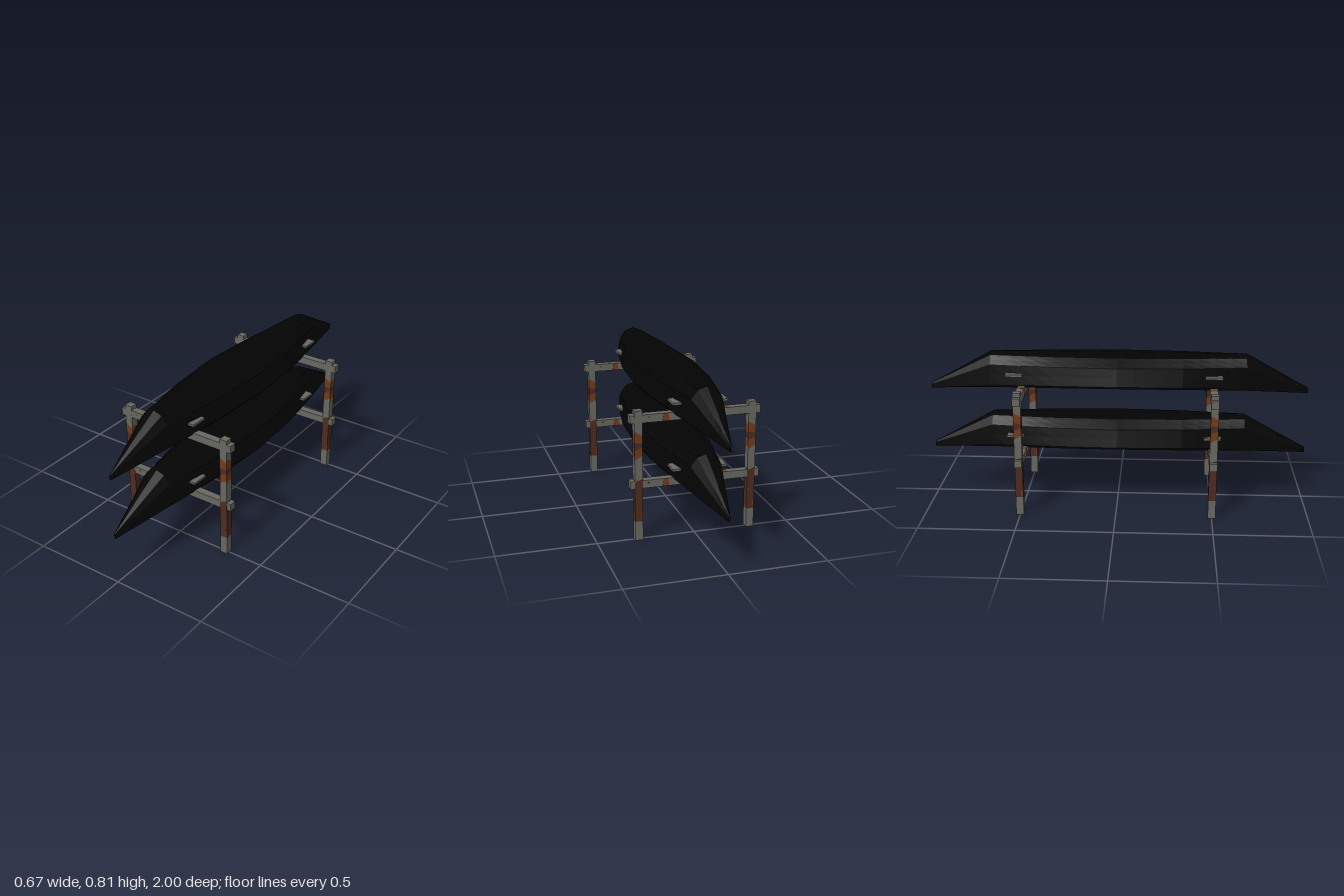
import * as THREE from 'three';

const mat = (name, color) => new THREE.MeshStandardMaterial({ name, color });

// Hull stations: z, half width, rim height, keel height
const STATIONS = [
  [0, 0.177, 0.652, 0.805], [0.34, 0.151, 0.645, 0.805],
  [0.67, 0.088, 0.628, 0.805], [1, 0.005, 0.595, 0.622],
];
// Half section, turned-in rim to keel: fraction of half width, fraction of height
const SECTION = [
  [0.945, 0], [1, 0.08], [0.935, 0.37], [0.87, 0.68],
  [0.69, 0.8], [0.51, 0.92], [0.26, 0.96], [0, 1],
];
const RING = [
  ...SECTION.map(([x, y]) => [-x, y]),
  ...SECTION.slice(0, -1).reverse(),
];
const STEPS = 24;
const THICKNESS = 0.003;

// Cross-section ring, spaced evenly between the corner stations
function ringAt(j, inset) {
  const u = (j / STEPS) * 2 - 1;
  const a = Math.abs(u) * 3, k = Math.min(2, Math.floor(a));
  const [d, w, rim, top] = STATIONS[k].map((v, i) => v + (STATIONS[k + 1][i] - v) * (a - k));
  return RING.map(([x, f]) => [x * (w - inset), rim + (top - inset - rim) * f, Math.sign(u) * d]);
}

// Surface over a list of quads, each with its corners counter-clockwise
function quadGeometry(quads) {
  const pos = quads.flatMap(([a, b, c, d]) => [...a, ...b, ...d, ...d, ...b, ...c]);
  const g = new THREE.BufferGeometry();
  g.setAttribute('position', new THREE.Float32BufferAttribute(pos, 3));
  g.computeVertexNormals();
  return g;
}

// Scattered stains either side of the inner keel
const stained = (i, j) => j > 3 && j < 20 && i > 3 && i < 10 && (i * 3 + j) % 4 === 0;

// Outer skin with its thin rim and stem edges, clean lining and stained lining
function hullGeometries() {
  const skin = [], lining = [], stains = [];
  const last = RING.length - 1;
  for (let j = 0; j < STEPS; j++) {
    const r = ringAt(j, 0), s = ringAt(j + 1, 0);
    const p = ringAt(j, THICKNESS), q = ringAt(j + 1, THICKNESS);
    for (let i = 0; i < last; i++) {
      skin.push([r[i], s[i], s[i + 1], r[i + 1]]);
      (stained(i, j) ? stains : lining).push([p[i], p[i + 1], q[i + 1], q[i]]);
      if (j === 0) skin.push([r[i], r[i + 1], p[i + 1], p[i]]);
      if (j === STEPS - 1) skin.push([s[i], q[i], q[i + 1], s[i + 1]]);
    }
    skin.push([r[0], p[0], q[0], s[0]], [r[last], s[last], q[last], p[last]]);
  }
  return [skin, lining, stains].map(quadGeometry);
}

export function createModel() {
  const black = mat('black hull paint', 0x030303);
  const grey = mat('weathered grey', 0x686862);
  const rust = mat('orange rust', 0x733b1c);
  const brown = mat('dark rust', 0x4e2b21);

  const model = new THREE.Group();
  model.name = 'canoeRack';

  const add = (parent, name, geometry, material, x = 0, y = 0, z = 0) => {
    const m = new THREE.Mesh(geometry, material);
    m.name = name;
    m.position.set(x, y, z);
    parent.add(m);
  };

  // Upturned canoes with seats that pass through the hull sides
  const [skin, lining, stains] = hullGeometries();
  const seat = new THREE.BoxGeometry(0.276, 0.012, 0.09);
  [['upperCanoe', 0], ['lowerCanoe', -0.333]].forEach(([name, y]) => {
    const canoe = new THREE.Group();
    canoe.name = name;
    canoe.position.y = y;
    add(canoe, 'hullOutside', skin, black);
    add(canoe, 'hullInside', lining, grey);
    add(canoe, 'hullStains', stains, brown);
    [0.5, 0, -0.538].forEach((z) => add(canoe, 'seat', seat, grey, 0, 0.705, z));
    model.add(canoe);
  });

  // Post bands: bottom, top, bottom tilt, top tilt, material
  const bands = [
    [0, 0.1, 0, 0, grey], [0.1, 0.315, 0, 0.006, brown], [0.315, 0.43, 0.006, 0.012, grey],
    [0.43, 0.475, 0.012, 0.008, rust], [0.475, 0.507, 0.008, -0.004, brown],
    [0.507, 0.553, -0.004, -0.012, rust], [0.553, 0.667, -0.012, 0, grey],
  ];
  // Each side of the post repeats the same slanted band edges
  const bandGeos = bands.map(([y0, y1, t0, t1]) => {
    const g = new THREE.BoxGeometry(0.04, y1 - y0, 0.04);
    const p = g.attributes.position, n = g.attributes.normal;
    for (let i = 0; i < p.count; i++) {
      const u = (n.getZ(i) * p.getX(i) - n.getX(i) * p.getZ(i)) / 0.02;
      p.setY(i, p.getY(i) > 0 ? y1 + t1 * u : y0 + t0 * u);
    }
    return g;
  });
  const postFleck = new THREE.BoxGeometry(0.008, 0.036, 0.001);

  // Rust marks on the beam faces
  const patchShape = new THREE.Shape([
    new THREE.Vector2(-0.019, -0.02), new THREE.Vector2(0.018, -0.02),
    new THREE.Vector2(0.01, 0.02), new THREE.Vector2(-0.012, 0.02),
  ]);
  const patch = new THREE.ExtrudeGeometry(patchShape, { depth: 0.001, bevelEnabled: false });
  const fleck = new THREE.BoxGeometry(0.012, 0.008, 0.001);
  const flatPatch = new THREE.BoxGeometry(0.03, 0.001, 0.039);
  const beam = new THREE.BoxGeometry(0.666, 0.04, 0.0394);

  [['frontFrame', 0.5], ['backFrame', -0.5]].forEach(([name, z]) => {
    const frame = new THREE.Group();
    frame.name = name;
    frame.position.z = z;
    [-0.291, 0.291].forEach((x) => {
      const post = new THREE.Group();
      post.name = x > 0 ? 'leftPost' : 'rightPost';
      post.position.x = x;
      bands.forEach((b, i) => add(post, 'postBand', bandGeos[i], b[4]));
      for (let k = 0; k < 4; k++) {
        const side = new THREE.Group();
        side.name = 'postRust';
        side.rotation.y = k * Math.PI / 2;
        add(side, 'rustFleck', postFleck, rust, 0.015, 0.125, 0.0199);
        post.add(side);
      }
      frame.add(post);
    });
    [0.626, 0.292].forEach((y) => {
      add(frame, 'crossBeam', beam, grey, 0, y, 0);
      add(frame, 'beamTopRust', flatPatch, rust, -0.15, y + 0.02, 0);
      add(frame, 'beamUnderRust', flatPatch, rust, -0.15, y - 0.02, 0);
      [0, Math.PI].forEach((turn) => {
        const face = new THREE.Group();
        face.name = 'beamRust';
        face.rotation.y = turn;
        add(face, 'rustPatch', patch, rust, -0.153, y, 0.0195);
        add(face, 'rustFleck', fleck, rust, -0.238, y + 0.006, 0.0198);
        frame.add(face);
      });
    });
    model.add(frame);
  });

  return model;
}
